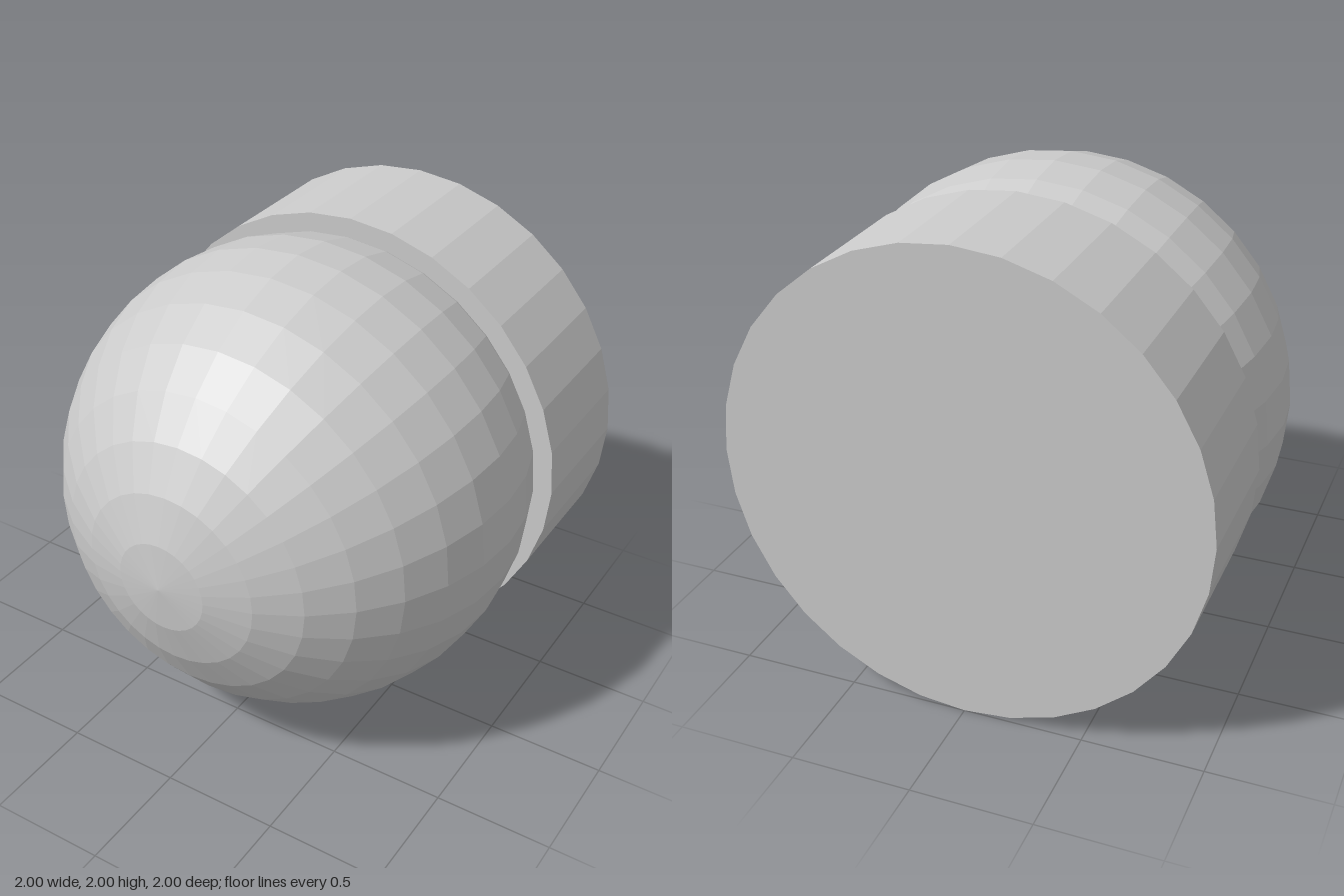
import * as THREE from 'three';

export function createModel() {
  const group = new THREE.Group();
  const material = new THREE.MeshStandardMaterial({ color: 0xcccccc, flatShading: true });
  const sides = 32, rings = 11;

  const addPart = (name, geometry, z) => {
    geometry.rotateX(Math.PI / 2); // turn the axis from y to z
    const mesh = new THREE.Mesh(geometry, material);
    mesh.name = name;
    mesh.position.set(0, 1, z);
    group.add(mesh);
  };

  // Faceted ball with its pole facing forward, ending inside the base
  addPart('ball', new THREE.SphereGeometry(1, sides, rings, 0, Math.PI * 2, 0, Math.PI * rings / 16), 0);

  // Closed cylinder behind the ball, from z = -0.4 to z = -1
  addPart('base', new THREE.CylinderGeometry(1, 1, 0.6, sides), -0.7);

  return group;
}
